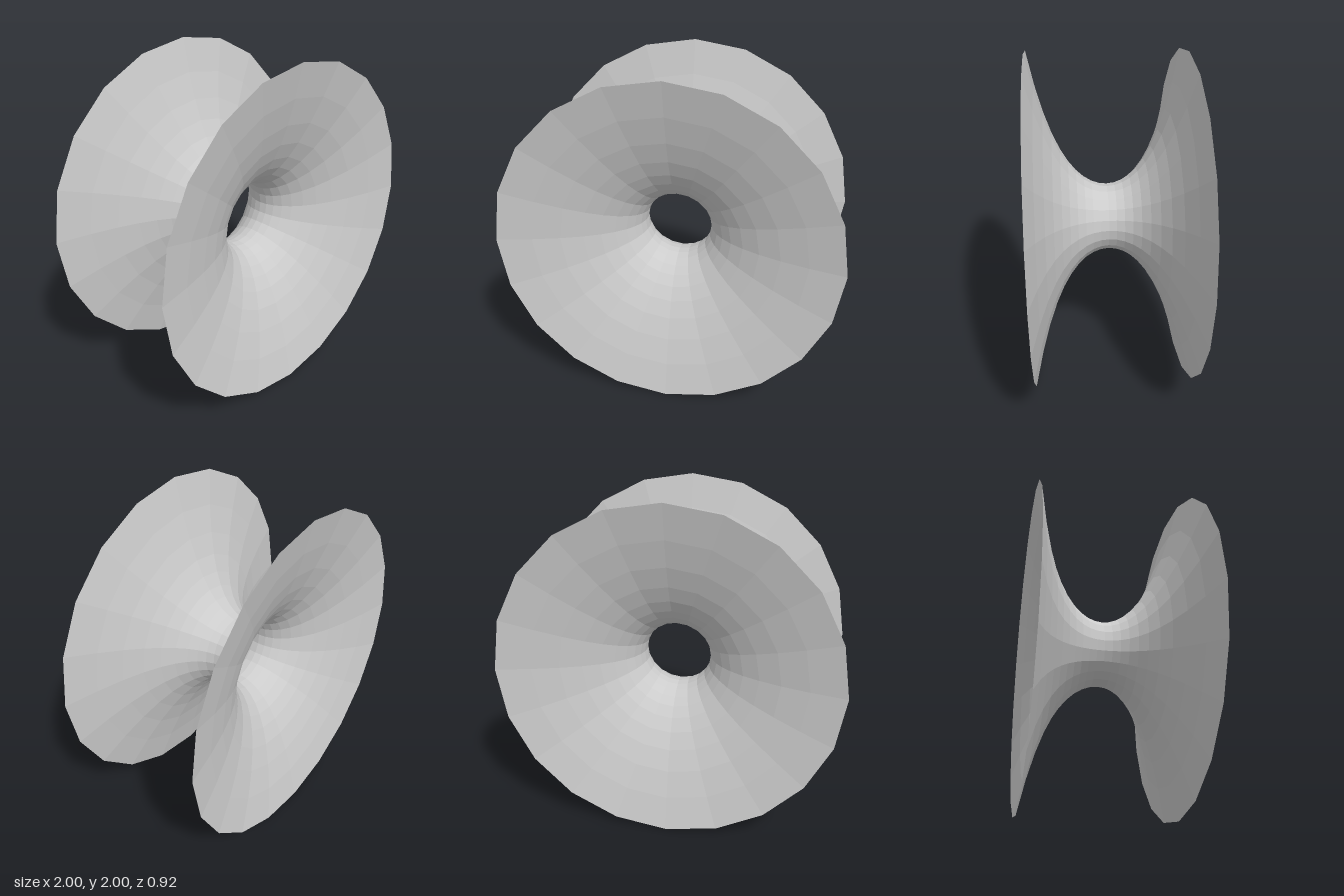
import * as THREE from 'three';

const WAIST = 0.2;   // radius at the narrowest ring
const RIM = 1;       // radius at both open ends
const SIDES = 20;
const RINGS = 20;

export function createModel() {
  const group = new THREE.Group();
  group.name = 'catenoid';

  // Catenary profile: r = a * cosh(z / a), evenly spaced along the axis
  const half = WAIST * Math.acosh(RIM / WAIST);
  const profile = [];
  for (let i = 0; i <= RINGS; i++) {
    const z = half * (2 * i / RINGS - 1);
    profile.push(new THREE.Vector2(WAIST * Math.cosh(z / WAIST), z));
  }

  // Open, thin surface of revolution, turned so its axis runs along z
  const geometry = new THREE.LatheGeometry(profile, SIDES);
  geometry.rotateX(Math.PI / 2);
  geometry.translate(0, RIM, 0);

  const surface = new THREE.Mesh(geometry, new THREE.MeshStandardMaterial({
    color: 0xcccccc, flatShading: true, side: THREE.DoubleSide,
  }));
  surface.name = 'flaredSurface';
  group.add(surface);
  return group;
}
